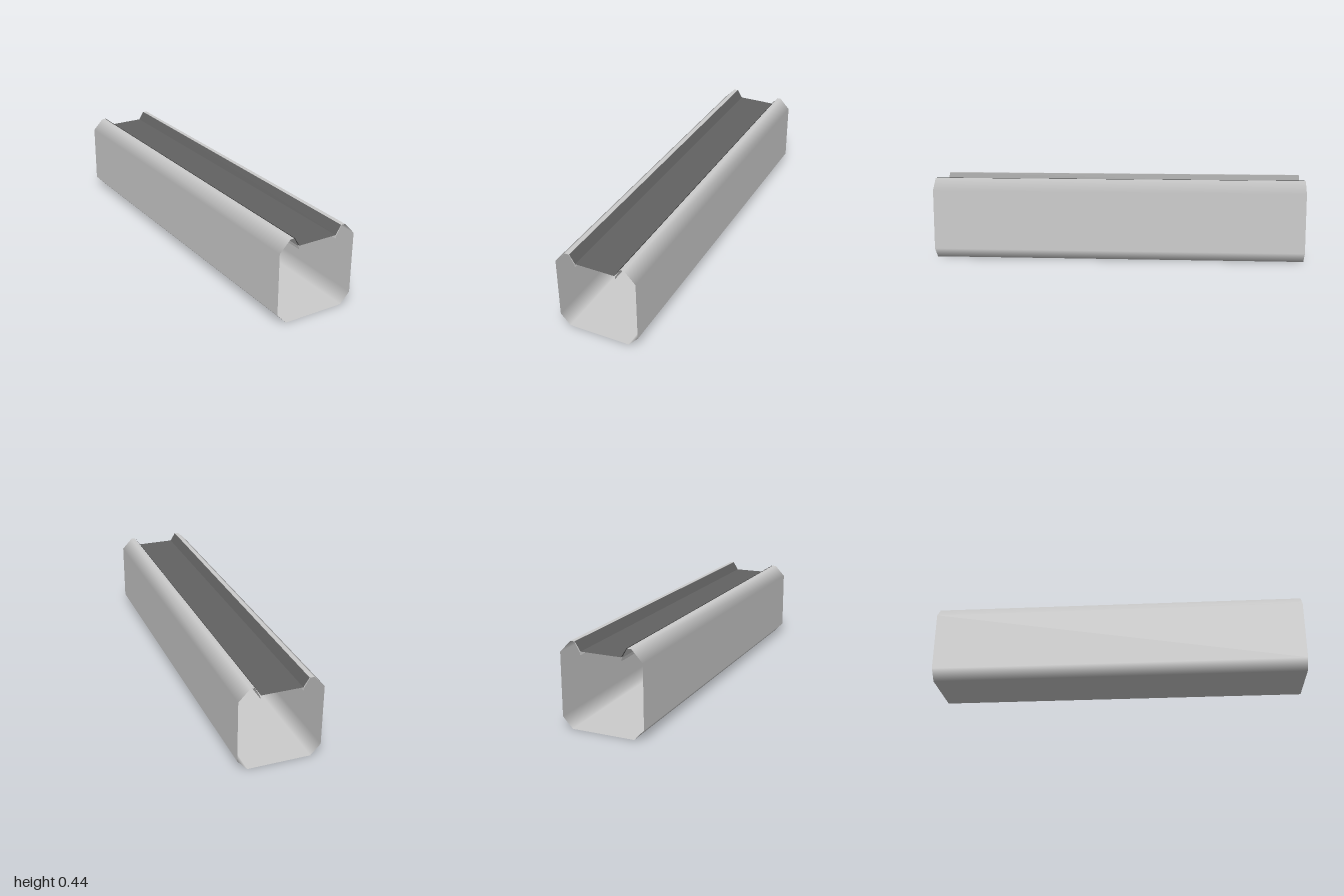
import * as THREE from 'three';

const HALF = 1; // half of the length along z

// Open sheet swept along z from a counter-clockwise profile.
// Segments listed in `round` blend between the normals of their neighbours.
function sheet(name, pts, round, material) {
  const normals = pts.slice(1).map(([x, y], i) => {
    const tx = x - pts[i][0], ty = y - pts[i][1], l = Math.hypot(tx, ty);
    return [ty / l, -tx / l];
  });
  const pos = [], nor = [], idx = [];
  normals.forEach((n, i) => {
    const isRound = round.includes(i);
    const ends = [
      [pts[i], isRound ? normals[i - 1] : n],
      [pts[i + 1], isRound ? normals[i + 1] : n],
    ];
    const a = pos.length / 3;
    for (const [p, m] of ends) {
      for (const z of [HALF, -HALF]) {
        pos.push(p[0], p[1], z);
        nor.push(m[0], m[1], 0);
      }
    }
    idx.push(a, a + 1, a + 2, a + 2, a + 1, a + 3);
  });
  const g = new THREE.BufferGeometry();
  g.setAttribute('position', new THREE.Float32BufferAttribute(pos, 3));
  g.setAttribute('normal', new THREE.Float32BufferAttribute(nor, 3));
  g.setIndex(idx);
  const mesh = new THREE.Mesh(g, material);
  mesh.name = name;
  return mesh;
}

// Completes a left half profile with its mirror image
const mirrored = (half) => [...half, ...half.map(([x, y]) => [-x, y]).reverse()];

export function createModel() {
  const lightGrey = new THREE.MeshStandardMaterial({ color: 0xcccccc, side: THREE.DoubleSide });
  lightGrey.name = 'lightGrey';
  const darkGrey = new THREE.MeshStandardMaterial({ color: 0x626262, side: THREE.DoubleSide });
  darkGrey.name = 'darkGrey';

  const group = new THREE.Group();
  group.name = 'channel';

  // Channel body: hanging lip, rim, rounded shoulder, wall, rounded corner, floor
  const body = mirrored([
    [-0.107, 0.372], [-0.11, 0.388], [-0.137, 0.435], [-0.158, 0.435],
    [-0.215, 0.375], [-0.215, 0.055], [-0.163, 0],
  ]);
  group.add(sheet('channelBody', body, [3, 5, 7, 9], lightGrey));

  // Recessed cover with sloping sides between the rims
  const cover = mirrored([[0.134, 0.436], [0.105, 0.39]]);
  group.add(sheet('recessedCover', cover, [], darkGrey));

  return group;
}
